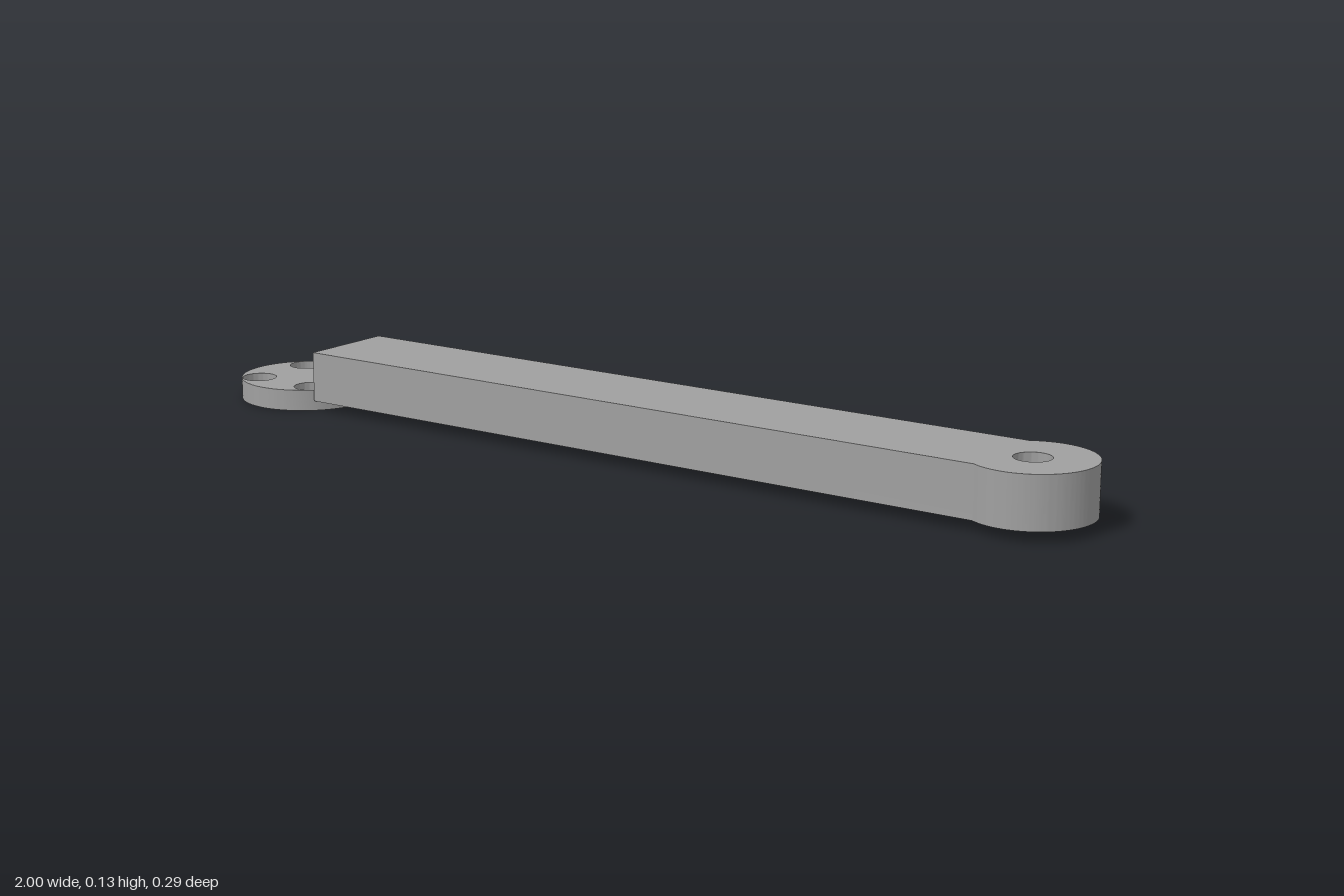
import * as THREE from 'three';
import { toCreasedNormals } from 'three/addons/utils/BufferGeometryUtils.js';

// Adds a round hole to a flat outline
function addHole(shape, x, y, radius) {
  const hole = new THREE.Path();
  hole.absarc(x, y, radius, 0, Math.PI * 2, true);
  shape.holes.push(hole);
}

// Extrudes a plan outline upward from y = bottom to y = top
function plate(name, shape, bottom, top, material) {
  const geometry = new THREE.ExtrudeGeometry(shape, {
    depth: top - bottom, bevelEnabled: false, curveSegments: 48,
  });
  geometry.rotateX(-Math.PI / 2);
  geometry.translate(0, bottom, 0);
  const mesh = new THREE.Mesh(toCreasedNormals(geometry, Math.PI / 6), material);
  mesh.name = name;
  return mesh;
}

export function createModel() {
  const model = new THREE.Group();
  model.name = 'leverArm';
  const grey = new THREE.MeshStandardMaterial({ color: 0xa0a0a0 });
  grey.name = 'grey';

  // Arm: straight bar running into a round eye with a through hole
  const eyeX = 0.879, eyeR = 0.121, halfWidth = 0.104;
  const angle = Math.PI - Math.asin(halfWidth / eyeR);
  const arm = new THREE.Shape();
  arm.moveTo(-0.748, -halfWidth);
  arm.lineTo(eyeX + eyeR * Math.cos(angle), -halfWidth);
  arm.absarc(eyeX, 0, eyeR, -angle, angle, false);
  arm.lineTo(-0.748, halfWidth);
  arm.closePath();
  addHole(arm, eyeX, 0, 0.036);
  model.add(plate('arm', arm, 0.022, 0.126, grey));

  // Mounting disc: narrow screw holes below, wide counterbores above
  const discX = -0.857, discR = 0.143, offset = 0.0745;
  const disc = new THREE.Group();
  disc.name = 'mountingDisc';
  const makeLayer = (holeRadius) => {
    const shape = new THREE.Shape();
    shape.absarc(discX, 0, discR, 0, Math.PI * 2, false);
    for (const sx of [-1, 1]) {
      for (const sy of [-1, 1]) addHole(shape, discX + sx * offset, sy * offset, holeRadius);
    }
    return shape;
  };
  const lower = makeLayer(0.02);
  addHole(lower, discX, 0, 0.061); // blind recess in the underside
  disc.add(plate('discLowerLayer', lower, 0, 0.022, grey));
  disc.add(plate('discUpperLayer', makeLayer(0.036), 0.022, 0.044, grey));
  model.add(disc);

  return model;
}
